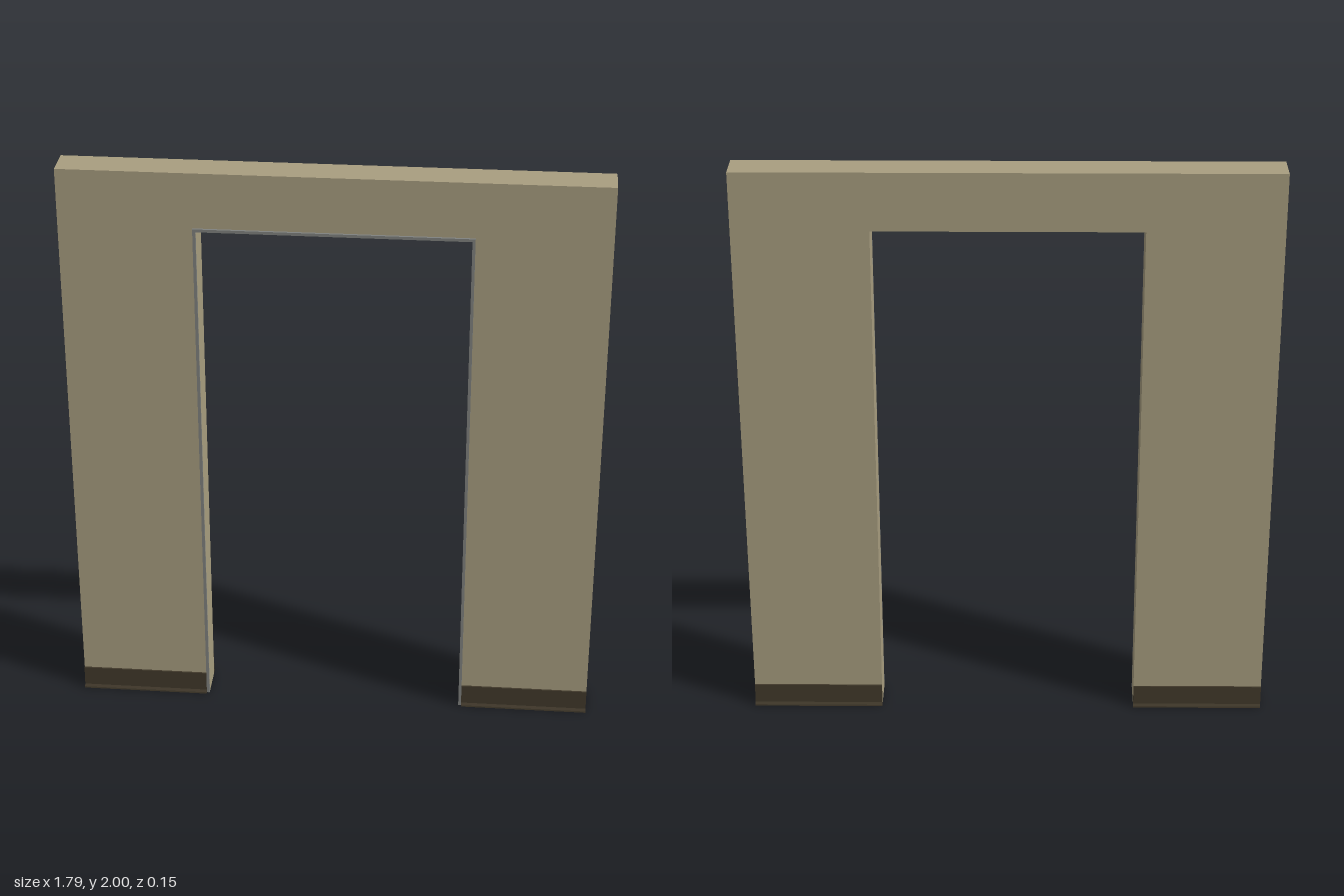
import * as THREE from 'three';

const HALF_W = 0.897, HALF_T = 0.058, DOOR = 0.446, DOOR_TOP = 1.8, TRIM = 0.01;

const mat = (name, color) => {
  const m = new THREE.MeshStandardMaterial({ color });
  m.name = name;
  return m;
};

// Upside-down U outline: outer half width and top, inner half width and top
function archShape(outerX, outerY, innerX, innerY) {
  return new THREE.Shape([
    [-outerX, 0], [-innerX, 0], [-innerX, innerY], [innerX, innerY],
    [innerX, 0], [outerX, 0], [outerX, outerY], [-outerX, outerY],
  ].map(([x, y]) => new THREE.Vector2(x, y)));
}

function extrude(shape, depth) {
  return new THREE.ExtrudeGeometry(shape, { depth, bevelEnabled: false });
}

export function createModel() {
  const group = new THREE.Group();
  group.name = 'doorwayWall';
  const wallMat = mat('wall tan', 0xa89e80);
  const trimMat = mat('trim grey', 0x80827f);
  const baseMat = mat('baseboard brown', 0x40382a);

  const add = (name, geometry, material) => {
    const mesh = new THREE.Mesh(geometry, material);
    mesh.name = name;
    group.add(mesh);
    return mesh;
  };

  // Wall with the door opening
  const wall = add('wall', extrude(archShape(HALF_W, 2, DOOR, DOOR_TOP), HALF_T * 2), wallMat);
  wall.position.z = -HALF_T;

  // Thin trim around the opening, on the front only
  const trim = add('doorTrim',
    extrude(archShape(DOOR + TRIM, DOOR_TOP + TRIM, DOOR, DOOR_TOP), 0.008), trimMat);
  trim.position.z = HALF_T;

  // Baseboard cross-section (depth out from wall, height) with a flared foot
  const profile = new THREE.Shape([
    [0, 0], [0.017, 0], [0.016, 0.005], [0.009, 0.012], [0.006, 0.08], [0, 0.08],
  ].map(([x, y]) => new THREE.Vector2(x, y)));

  for (const side of [-1, 1]) {
    for (const face of [-1, 1]) {
      // The front boards stop at the trim, the back ones at the opening
      const inner = face > 0 ? DOOR + TRIM : DOOR;
      const length = HALF_W - inner;
      const board = add(`${face > 0 ? 'front' : 'back'}Baseboard${side > 0 ? 'Left' : 'Right'}`,
        extrude(profile, length), baseMat);
      board.rotation.y = -face * Math.PI / 2;
      const centre = side * (inner + HALF_W) / 2;
      board.position.set(centre + face * length / 2, 0, face * HALF_T);
    }
  }
  return group;
}
